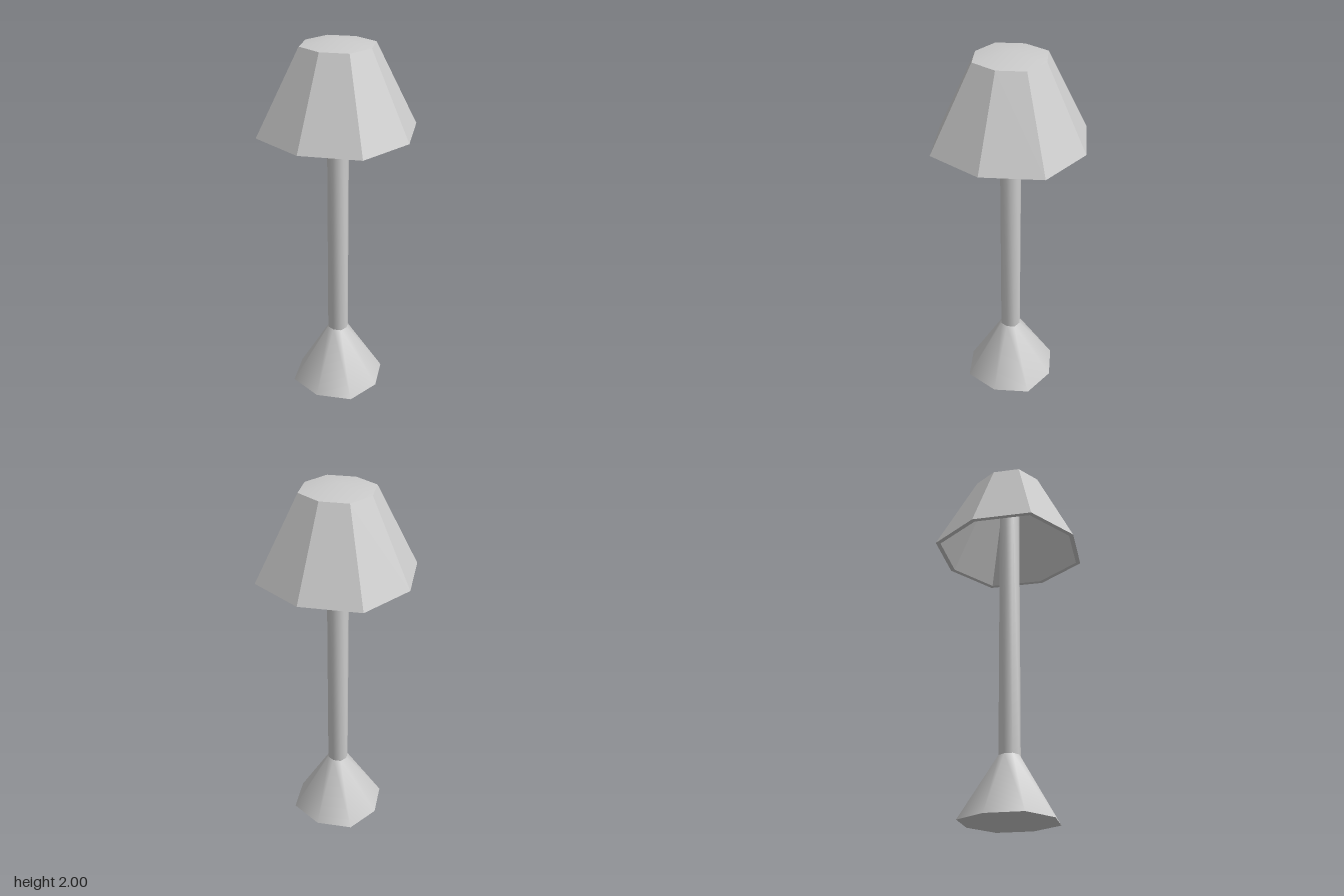
import * as THREE from 'three';
import { toCreasedNormals } from 'three/addons/utils/BufferGeometryUtils.js';

const material = new THREE.MeshStandardMaterial({ color: 0xcccccc });

// Eight-sided turned part; the diagonal corners sit slightly further out
function octagonal(name, profile, crease) {
  const geometry = new THREE.LatheGeometry(profile.map(([r, y]) => new THREE.Vector2(r, y)), 8);
  const p = geometry.attributes.position;
  for (let i = 0; i < p.count; i++) {
    const x = p.getX(i), z = p.getZ(i);
    if (Math.abs(x) > 0.001 && Math.abs(z) > 0.001) {
      p.setX(i, x * 1.067);
      p.setZ(i, z * 1.067);
    }
  }
  const mesh = new THREE.Mesh(toCreasedNormals(geometry, crease), material);
  mesh.name = name;
  return mesh;
}

export function createModel() {
  const lamp = new THREE.Group();
  lamp.name = 'tableLamp';

  // Flared foot with a closed underside
  lamp.add(octagonal('base', [[0, 0], [0.25, 0], [0.055, 0.335], [0, 0.335]], 1));

  // Slim post reaching up to the shade's ceiling
  lamp.add(octagonal('post', [[0, 0.33], [0.055, 0.33], [0.055, 1.95], [0, 1.95]], 1));

  // Hollow faceted shade: ceiling, inner wall, rim, outer wall, shallow peak
  lamp.add(octagonal('shade', [
    [0, 1.95], [0.17, 1.93], [0.375, 1.525], [0.4, 1.525], [0.185, 1.97], [0, 2],
  ], 0.45));

  return lamp;
}
